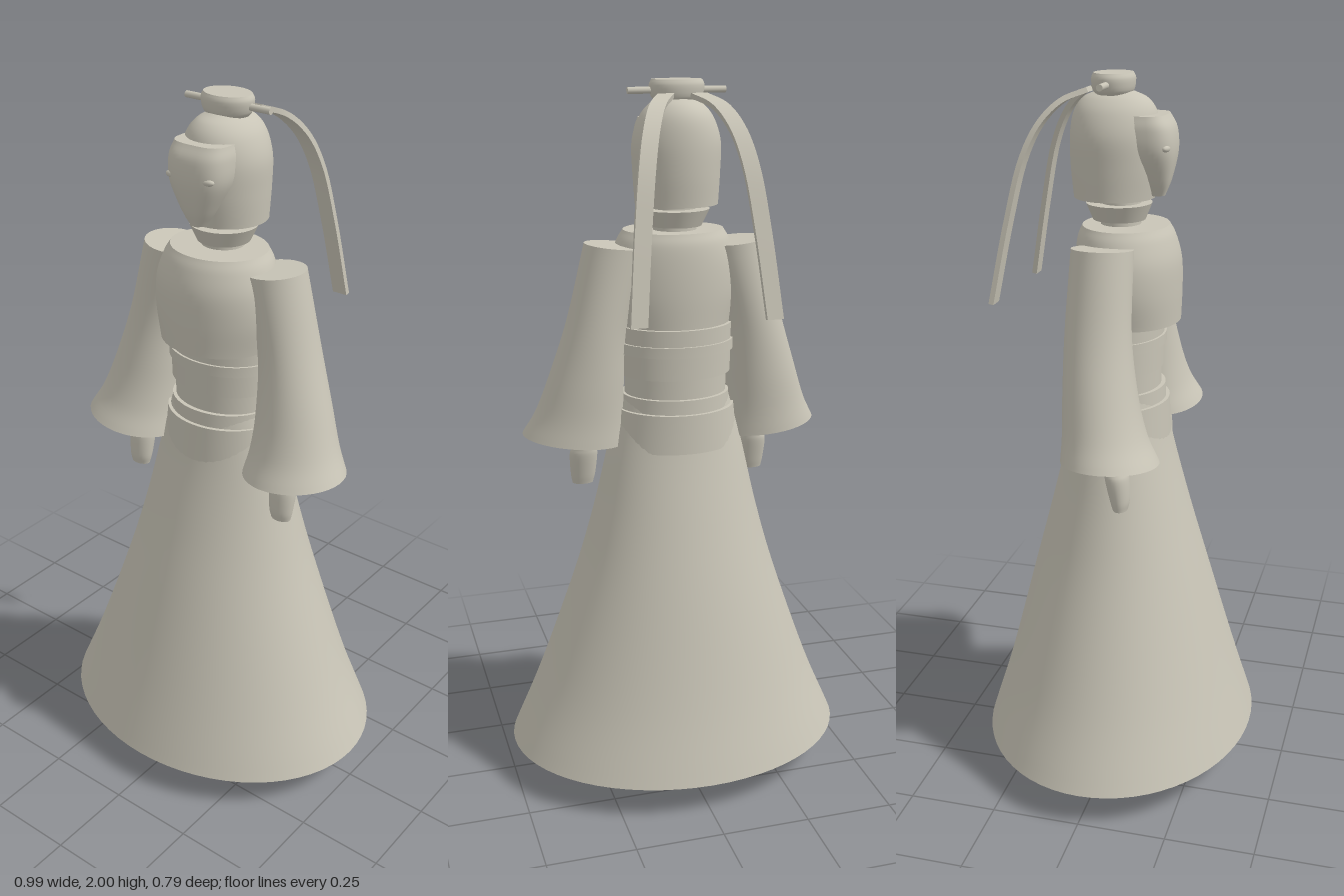
import * as THREE from 'three';

const clay = new THREE.MeshStandardMaterial({ color: 0xc8c4b6, side: THREE.DoubleSide });
clay.name = 'warm grey';

// Smooth loft through elliptical sections, listed bottom to top:
// [y, centreX, centreZ, radiusX, radiusZ, tilt (rise per unit of x)]
function loft(sections, { cap = true, steps = 6, sides = 40, power = 1 } = {}) {
  const centre = new THREE.CatmullRomCurve3(
    sections.map(s => new THREE.Vector3(s[0], s[1], s[2])), false, 'catmullrom');
  const radius = new THREE.CatmullRomCurve3(
    sections.map(s => new THREE.Vector3(s[3], s[4], s[5] || 0)), false, 'catmullrom');
  const rows = (sections.length - 1) * steps;
  const pos = [], index = [];
  const soft = v => Math.sign(v) * Math.abs(v) ** power;
  const ring = t => {
    const c = centre.getPoint(t), r = radius.getPoint(t);
    for (let j = 0; j < sides; j++) {
      const a = (j / sides) * Math.PI * 2;
      const dx = r.x * soft(Math.cos(a));
      pos.push(c.y + dx, c.x + dx * r.z, c.z + r.y * soft(Math.sin(a)));
    }
    return c;
  };
  for (let i = 0; i <= rows; i++) ring(i / rows);
  for (let i = 0; i < rows; i++) {
    for (let j = 0; j < sides; j++) {
      const a = i * sides + j, b = i * sides + (j + 1) % sides;
      index.push(a, a + sides, b, b, a + sides, b + sides);
    }
  }
  // Caps use their own vertices so their edges stay sharp
  if (cap) {
    for (const t of [0, 1]) {
      const start = pos.length / 3;
      const c = ring(t);
      const mid = pos.length / 3;
      pos.push(c.y, c.x, c.z);
      for (let j = 0; j < sides; j++) {
        const a = start + j, b = start + (j + 1) % sides;
        if (t) index.push(mid, b, a);
        else index.push(mid, a, b);
      }
    }
  }
  const geo = new THREE.BufferGeometry();
  geo.setAttribute('position', new THREE.Float32BufferAttribute(pos, 3));
  geo.setIndex(index);
  geo.computeVertexNormals();
  return geo;
}

// Flat strip swept along a curve, with its width across x
function ribbon(points, width, thick) {
  const curve = new THREE.CatmullRomCurve3(points.map(p => new THREE.Vector3(...p)));
  const n = 24;
  const geo = new THREE.BoxGeometry(1, 1, 1, 1, 1, n);
  const p = geo.attributes.position;
  for (let i = 0; i < p.count; i++) {
    const t = p.getZ(i) + 0.5;
    const c = curve.getPoint(t), d = curve.getTangent(t);
    const up = new THREE.Vector3(0, -d.z, d.y).normalize();
    const h = p.getY(i) * thick;
    p.setXYZ(i, c.x + p.getX(i) * width, c.y + up.y * h, c.z + up.z * h);
  }
  geo.computeVertexNormals();
  return geo;
}

export function createModel() {
  const model = new THREE.Group();
  model.name = 'robedFigure';
  const add = (name, geo) => {
    const mesh = new THREE.Mesh(geo, clay);
    mesh.name = name;
    model.add(mesh);
    return mesh;
  };

  // Flared skirt, open at the hem
  add('skirt', loft([
    [0.09, 0, 0, 0.495, 0.396], [0.3, 0, 0, 0.405, 0.332], [0.6, 0, -0.005, 0.298, 0.25],
    [0.8, 0, -0.008, 0.24, 0.195], [1.0, 0, -0.01, 0.193, 0.145], [1.15, 0, -0.01, 0.15, 0.122],
  ], { cap: false, sides: 64 }));

  // Waist bands and sash
  const bands = [
    ['hipBand', 1.0, 1.11, 0.18, 0.168, 0.147, 0.142],
    ['lowerBand', 1.105, 1.15, 0.155, 0.153, 0.132, 0.13],
    ['waist', 1.14, 1.22, 0.145, 0.145, 0.118, 0.118],
    ['sash', 1.205, 1.345, 0.157, 0.16, 0.124, 0.125],
    ['sashCord', 1.27, 1.3, 0.165, 0.165, 0.131, 0.131],
  ];
  for (const [name, y0, y1, x0, x1, z0, z1] of bands) {
    add(name, loft([[y0, 0, -0.012, x0, z0], [y1, 0, -0.012, x1, z1]], { steps: 1, sides: 48 }));
  }

  // Bodice, neck and flaring collar
  add('torso', loft([
    [1.34, 0, 0.017, 0.162, 0.143], [1.43, 0, 0.016, 0.179, 0.146], [1.51, 0, 0.015, 0.177, 0.144],
    [1.57, 0, 0.01, 0.159, 0.133], [1.603, 0, 0.008, 0.14, 0.118],
  ], { sides: 48 }));
  add('neck', loft([[1.58, 0, -0.007, 0.06, 0.055], [1.7, 0, -0.007, 0.06, 0.055]], { steps: 1 }));
  add('collar', loft([[1.615, 0, -0.012, 0.073, 0.072], [1.66, 0, -0.012, 0.095, 0.09]], { steps: 1 }));

  // Head with a smooth cap of hair
  add('hair', loft([
    [1.675, 0, -0.025, 0.113, 0.11], [1.76, 0, -0.023, 0.118, 0.12], [1.84, 0, -0.022, 0.119, 0.122],
    [1.9, 0, -0.022, 0.1, 0.112], [1.935, 0, -0.022, 0.072, 0.088], [1.953, 0, -0.022, 0.04, 0.05],
  ], { sides: 48 }));
  add('face', loft([
    [1.683, 0, 0.06, 0.022, 0.055], [1.73, 0, 0.06, 0.052, 0.072], [1.8, 0, 0.06, 0.085, 0.085],
    [1.86, 0, 0.06, 0.089, 0.08], [1.897, 0, 0.06, 0.08, 0.06],
  ], { power: 0.65 }));

  // Bun and hairpin
  add('bun', loft([
    [1.945, 0, -0.027, 0.06, 0.046], [1.958, 0, -0.027, 0.07, 0.055],
    [1.985, 0, -0.027, 0.075, 0.058], [2.0, 0, -0.027, 0.068, 0.052],
  ], { steps: 3 }));
  const pin = add('hairpin', new THREE.CylinderGeometry(0.009, 0.009, 0.27, 12));
  pin.rotation.z = Math.PI / 2;
  pin.position.set(0, 1.972, -0.028);

  for (const s of [1, -1]) {
    const side = s > 0 ? 'left' : 'right';

    const eye = add(side + 'Eye', new THREE.SphereGeometry(1, 20, 12));
    eye.scale.set(0.027, 0.011, 0.012);
    eye.position.set(s * 0.05, 1.815, 0.128);

    // Trailing ribbon behind the head
    add(side + 'Ribbon', ribbon([
      [s * 0.045, 1.96, -0.08], [s * 0.085, 1.935, -0.14], [s * 0.115, 1.88, -0.192],
      [s * 0.138, 1.79, -0.234], [s * 0.16, 1.63, -0.272], [s * 0.183, 1.405, -0.315],
    ], 0.045, 0.014));

    // Wide sleeve, closed at the shoulder and open at the cuff
    add(side + 'Sleeve', loft([
      [1.018, s * 0.283, 0.038, 0.148, 0.132, s * 0.11], [1.09, s * 0.27, 0.02, 0.125, 0.113, s * 0.1],
      [1.2, s * 0.252, 0.003, 0.104, 0.1, s * 0.1], [1.36, s * 0.222, -0.01, 0.083, 0.089, s * 0.1],
      [1.567, s * 0.17, -0.012, 0.084, 0.083, s * 0.1],
    ], { cap: false }));
    add(side + 'Shoulder', loft([
      [1.563, s * 0.171, -0.012, 0.083, 0.082, s * 0.1], [1.567, s * 0.17, -0.012, 0.084, 0.083, s * 0.1],
    ], { steps: 1 }));

    // Hand reaching down and slightly forward
    add(side + 'Hand', loft([
      [0.87, s * 0.258, 0.06, 0.03, 0.02], [0.9, s * 0.257, 0.058, 0.036, 0.027],
      [0.96, s * 0.256, 0.05, 0.04, 0.033], [0.995, s * 0.253, 0.044, 0.033, 0.03],
      [1.1, s * 0.25, 0.03, 0.03, 0.03],
    ], { sides: 24 }));

    // Slipper, lofted from heel to toe
    const shoe = loft([
      [-0.072, 0, -0.1, 0.036, 0.016], [-0.03, 0, -0.068, 0.048, 0.06], [0.03, 0, -0.056, 0.05, 0.054],
      [0.1, 0, -0.052, 0.045, 0.04], [0.145, 0, -0.047, 0.031, 0.027], [0.16, 0, -0.045, 0.02, 0.02],
    ], { sides: 24 });
    shoe.rotateX(Math.PI / 2);
    add(side + 'Shoe', shoe).position.x = s * 0.095;
  }
  return model;
}
